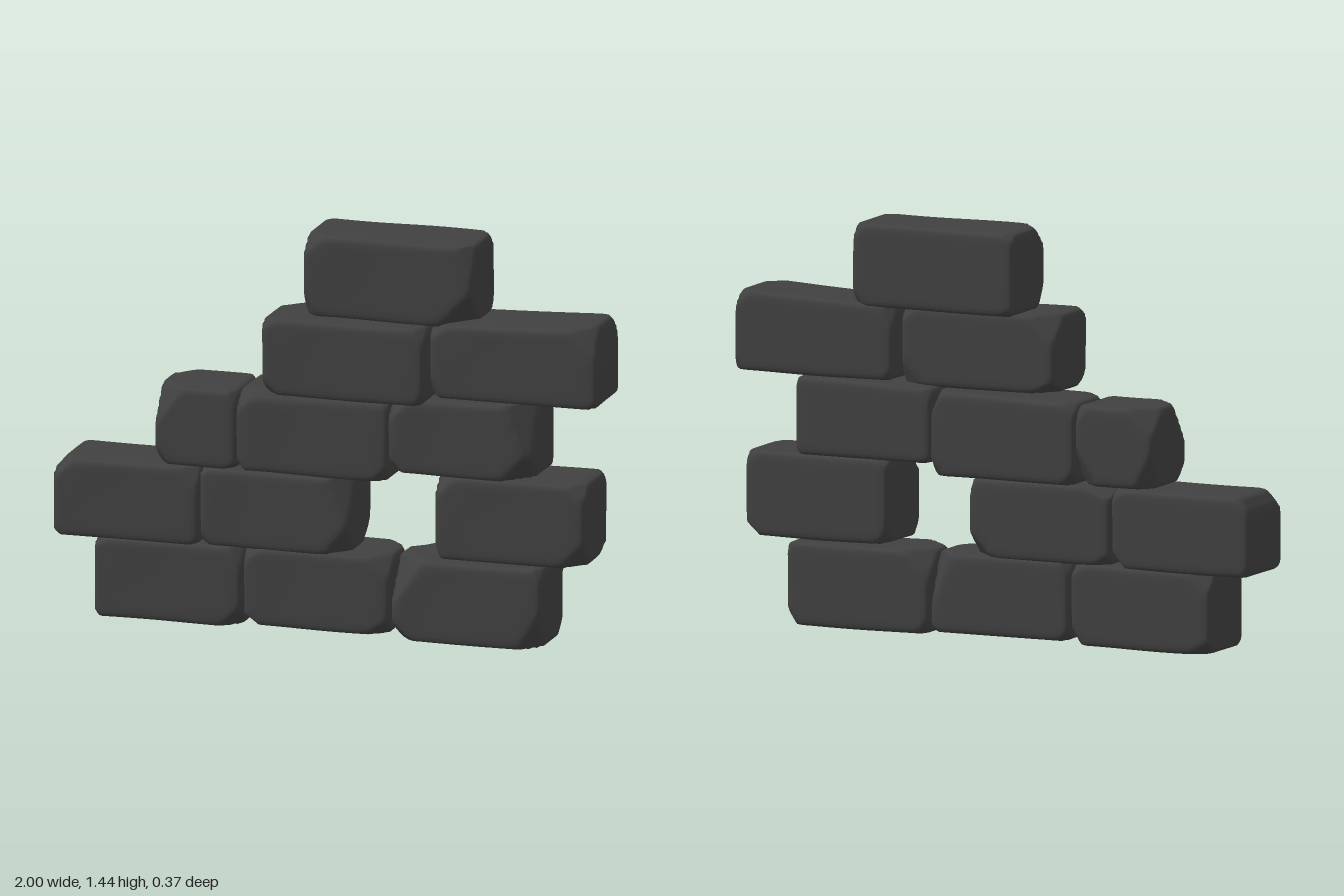
import * as THREE from 'three';
import { mergeVertices } from 'three/addons/utils/BufferGeometryUtils.js';

// Seeded random numbers for the light wear on every brick
function seeded(seed) {
  let s = seed;
  return () => {
    s = (s * 16807) % 2147483647;
    return s / 2147483647;
  };
}

// Worn brick: a rounded box whose corners are shaved by planes.
// cuts: [sx, sy, sz, depth], the direction of a corner or edge and how deep it is shaved.
function wornBrick([w, h, d], cuts, tilt, rand) {
  const half = new THREE.Vector3(w / 2, h / 2, d / 2);
  const radius = 0.024;
  const inner = half.clone().subScalar(radius);
  const planes = cuts.map(([sx, sy, sz, depth]) => ({ n: new THREE.Vector3(sx, sy, sz).normalize(), depth }));
  for (const sx of [-1, 1]) for (const sy of [-1, 1]) for (const sz of [-1, 1]) {
    const n = new THREE.Vector3(sx * (0.6 + rand()), sy * (0.6 + rand()), sz * (0.6 + rand())).normalize();
    planes.push({ n, depth: 0.022 + 0.02 * rand() });
  }
  for (const p of planes) {
    p.limit = Math.abs(p.n.x) * half.x + Math.abs(p.n.y) * half.y + Math.abs(p.n.z) * half.z - p.depth;
  }

  let geo = new THREE.BoxGeometry(2, 2, 2, 20, 16, 16);
  geo.deleteAttribute('uv');
  geo.deleteAttribute('normal');
  geo = mergeVertices(geo, 1e-4);
  const pos = geo.attributes.position;
  const v = new THREE.Vector3(), core = new THREE.Vector3();
  const phase = rand() * 6;
  const spread = (t) => Math.sin((t * Math.PI) / 2); // gathers the grid lines near the edges
  for (let i = 0; i < pos.count; i++) {
    v.fromBufferAttribute(pos, i);
    v.set(spread(v.x), spread(v.y), spread(v.z)).multiply(half);
    core.copy(v).clamp(inner.clone().negate(), inner);
    v.sub(core).setLength(radius).add(core);
    for (const { n, limit } of planes) {
      const over = v.dot(n) - limit;
      if (over > 0) v.addScaledVector(n, -over);
    }
    // gentle unevenness of the faces
    const wave = 0.004 * (Math.sin(v.x * 11 + phase) * Math.cos(v.y * 9 + v.z * 8 + phase) - 0.6);
    v.x *= 1 + wave;
    v.y *= 1 + wave * 3;
    v.z *= 1 + wave * 3;
    v.y += tilt * (v.x / half.x) * (v.y / half.y + 1) * 0.5;
    pos.setXYZ(i, v.x, v.y, v.z);
  }
  geo.computeVertexNormals();
  return geo;
}

// Each brick: x range, y range, z range, extra worn corners, tilt of its top
const F = 0.12, B = -0.168;
const COURSES = {
  bottomCourse: [
    { x: [-0.85, -0.31], y: [0, 0.292], z: [B, F], cuts: [[1, -1, 1, 0.05]] },
    { x: [-0.302, 0.232], y: [0.012, 0.297], z: [B, F], cuts: [[1, 1, 1, 0.05], [1, 0.4, -1, 0.06]] },
    { x: [0.24, 0.79], y: [0, 0.297], z: [B, F],
      cuts: [[-1, 0.7, 1, 0.08], [-1, -1, 0.8, 0.05], [1, -0.6, 1, 0.06], [-1, 1, -1, 0.06]] },
  ],
  secondCourse: [
    { x: [-1, -0.467], y: [0.282, 0.567], z: [B, F], cuts: [[-1, 0.8, 0, 0.03], [-1, 1, 1, 0.05]] },
    { x: [-0.462, 0.084], y: [0.287, 0.57], z: [B, F],
      cuts: [[1, 0.5, 1, 0.06], [1, -0.8, 1, 0.06], [1, -1, -1, 0.06]] },
    { x: [0.4, 0.95], y: [0.306, 0.611], z: [B, F],
      cuts: [[1, -1, 0.4, 0.03], [-1, 1, 1, 0.05], [1, -1, 1, 0.06]] },
  ],
  thirdCourse: [
    { x: [-0.628, -0.328], y: [0.568, 0.854], z: [B, F],
      cuts: [[-1, 0.7, 1, 0.07], [-1, 1, -1, 0.06], [-1, -0.5, -1, 0.05], [1, -0.6, -1, 0.06]] },
    { x: [-0.33, 0.228], y: [0.566, 0.864], z: [-0.18, F], cuts: [[0, 1, 1, 0.02], [-1, 1, 1, 0.05]], tilt: 0.005 },
    { x: [0.23, 0.754], y: [0.605, 0.88], z: [-0.172, 0.125],
      cuts: [[1, 0.4, 1, 0.07], [1, -1, 1, 0.07], [-1, 1, 1, 0.05]], tilt: 0.006 },
  ],
  fourthCourse: [
    { x: [-0.213, 0.379], y: [0.867, 1.147], z: [-0.1, 0.188], cuts: [[-1, 1, -1, 0.06]] },
    { x: [0.382, 0.995], y: [0.886, 1.165], z: [-0.165, F],
      cuts: [[1, 0.6, 0, 0.022], [1, 0.12, 0, 0.016], [1, 1, 1, 0.06]], tilt: 0.012 },
  ],
  topCourse: [
    { x: [-0.085, 0.537], y: [1.143, 1.44], z: [-0.167, 0.116],
      cuts: [[1, -1, 1, 0.08], [-1, 1, 1, 0.05], [-1, -0.5, 1, 0.04]] },
  ],
};

export function createModel() {
  const model = new THREE.Group();
  model.name = 'brokenBrickWall';
  const material = new THREE.MeshStandardMaterial({ color: 0x404040 });
  const rand = seeded(4711);
  for (const [name, bricks] of Object.entries(COURSES)) {
    const course = new THREE.Group();
    course.name = name;
    bricks.forEach(({ x, y, z, cuts, tilt = 0 }, i) => {
      const size = [x, y, z].map(([a, b]) => b - a);
      const brick = new THREE.Mesh(wornBrick(size, cuts, tilt, rand), material);
      brick.name = `brick${i + 1}`;
      brick.position.set((x[0] + x[1]) / 2, (y[0] + y[1]) / 2, (z[0] + z[1]) / 2);
      course.add(brick);
    });
    model.add(course);
  }
  return model;
}
